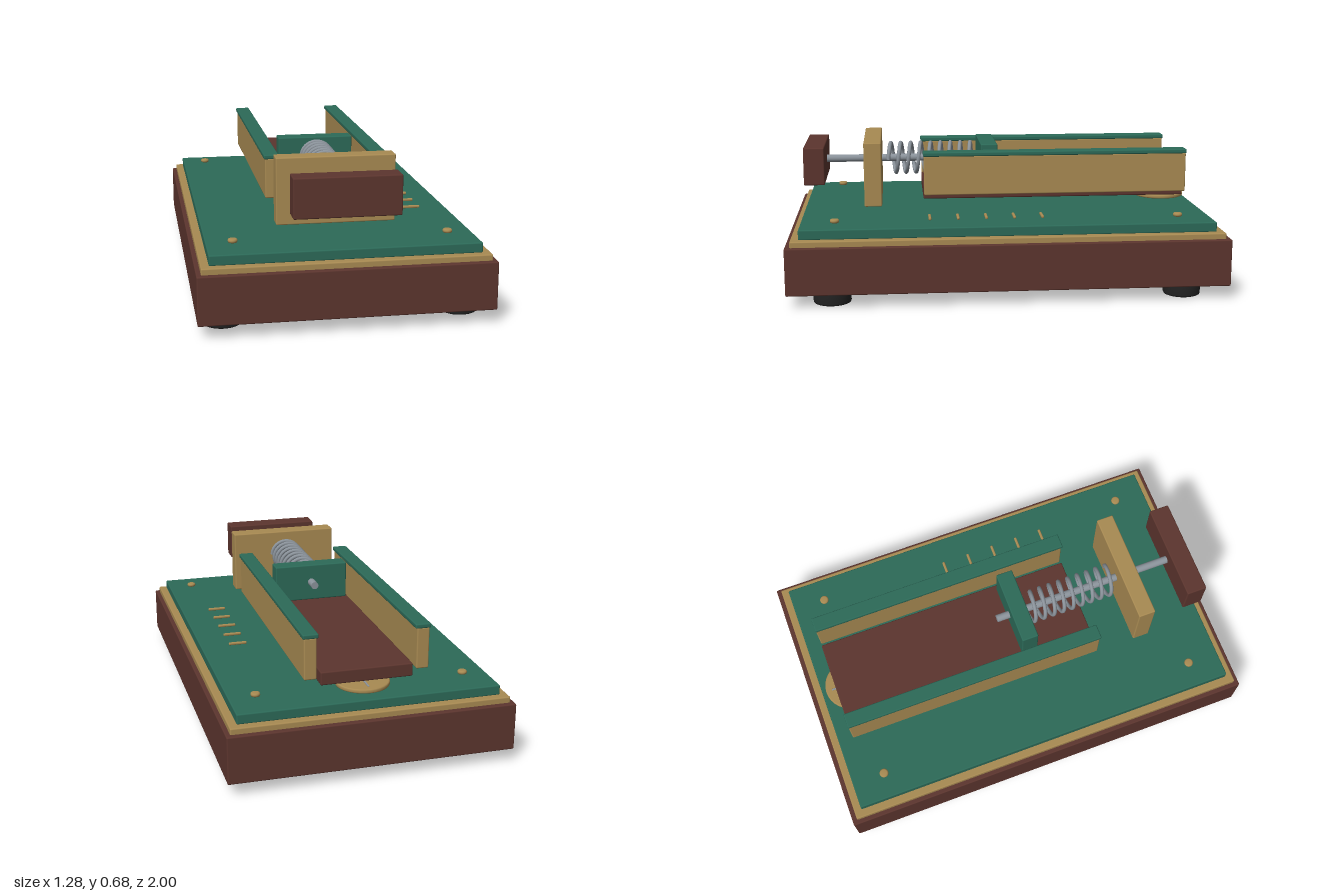
import * as THREE from 'three';
import { RoundedBoxGeometry } from 'three/addons/geometries/RoundedBoxGeometry.js';

const paint = (name, color) => Object.assign(new THREE.MeshStandardMaterial({ color }), { name });

export function createModel() {
  const model = new THREE.Group();
  model.name = 'springLauncher';
  const wood = paint('dark wood', 0x5c352e);
  const brass = paint('brass', 0xa88a52);
  const green = paint('green', 0x2c6a58);
  const steel = paint('steel', 0x8b939b);
  const rubber = paint('black rubber', 0x222222);

  const add = (name, geometry, material, x = 0, y = 0, z = 0) => {
    const mesh = new THREE.Mesh(geometry, material);
    mesh.name = name;
    mesh.position.set(x, y, z);
    model.add(mesh);
    return mesh;
  };
  // softly edged box given by its limits on each axis
  const box = (name, material, [x0, x1], [y0, y1], [z0, z1], r = 0.006) =>
    add(name, new RoundedBoxGeometry(x1 - x0, y1 - y0, z1 - z0, 2, r), material,
      (x0 + x1) / 2, (y0 + y1) / 2, (z0 + z1) / 2);
  // upright disc with rounded rims
  const disc = (name, material, radius, height, bevel, x, y, z) => {
    const h = height / 2;
    const p = [[0, -h], [radius - bevel, -h], [radius - bevel * 0.3, -h + bevel * 0.3], [radius, -h + bevel],
      [radius, h - bevel], [radius - bevel * 0.3, h - bevel * 0.3], [radius - bevel, h], [0, h]];
    return add(name, new THREE.LatheGeometry(p.map(([a, b]) => new THREE.Vector2(a, b)), 32), material, x, y, z);
  };

  // stepped base
  box('base', wood, [-0.64, 0.64], [0.06, 0.275], [-1, 1]);
  box('baseTrim', brass, [-0.62, 0.62], [0.27, 0.302], [-0.977, 0.977]);
  box('deck', green, [-0.585, 0.585], [0.3, 0.346], [-0.941, 0.941]);

  // feet and deck screws at the four corners
  for (const sx of [-1, 1]) {
    for (const sz of [-1, 1]) {
      disc('foot', rubber, 0.085, 0.06, 0.01, sx * 0.523, 0.03, sz * 0.8);
      disc('screw', brass, 0.021, 0.018, 0.007, sx * 0.47, 0.361, sz * 0.785);
    }
  }

  // channel with two capped rails
  box('channelFloor', wood, [-0.206, 0.206], [0.402, 0.462], [-0.868, 0.378]);
  for (const s of [-1, 1]) {
    const span = (a, b) => s > 0 ? [a, b] : [-b, -a];
    box('rail', brass, span(0.222, 0.278), [0.432, 0.618], [-0.866, 0.376]);
    box('railCap', green, span(0.214, 0.284), [0.615, 0.636], [-0.868, 0.38]);
  }

  // round plate and pin at the far end
  disc('endPlate', brass, 0.12, 0.02, 0.006, 0, 0.374, -0.8);
  box('endPin', steel, [-0.004, 0.004], [0.38, 0.388], [-0.89, -0.8], 0.002);

  // plunger: handle, rod, guide plate, pusher
  box('handle', wood, [-0.232, 0.232], [0.48, 0.656], [0.838, 0.935]);
  box('guidePlate', brass, [-0.266, 0.266], [0.38, 0.682], [0.573, 0.655]);
  box('pusher', green, [-0.178, 0.178], [0.48, 0.656], [0.023, 0.103]);
  add('rod', new THREE.CylinderGeometry(0.018, 0.018, 0.9, 20), steel, 0, 0.57, 0.41).rotation.x = Math.PI / 2;

  // coil spring around the rod
  const turns = 9;
  const coil = [];
  for (let i = 0; i <= turns * 16; i++) {
    const a = (i / 16) * Math.PI * 2;
    coil.push(new THREE.Vector3(0.072 * Math.cos(a), 0.57 + 0.072 * Math.sin(a), 0.542 - 0.435 * i / (turns * 16)));
  }
  add('spring', new THREE.TubeGeometry(new THREE.CatmullRomCurve3(coil), 360, 0.0095, 8), steel);

  // scale marks on the deck
  for (let i = 0; i < 5; i++) {
    box('scaleMark', brass, [0.37, 0.456], [0.351, 0.364], [-0.167 + i * 0.129, -0.154 + i * 0.129], 0.005);
  }
  return model;
}
